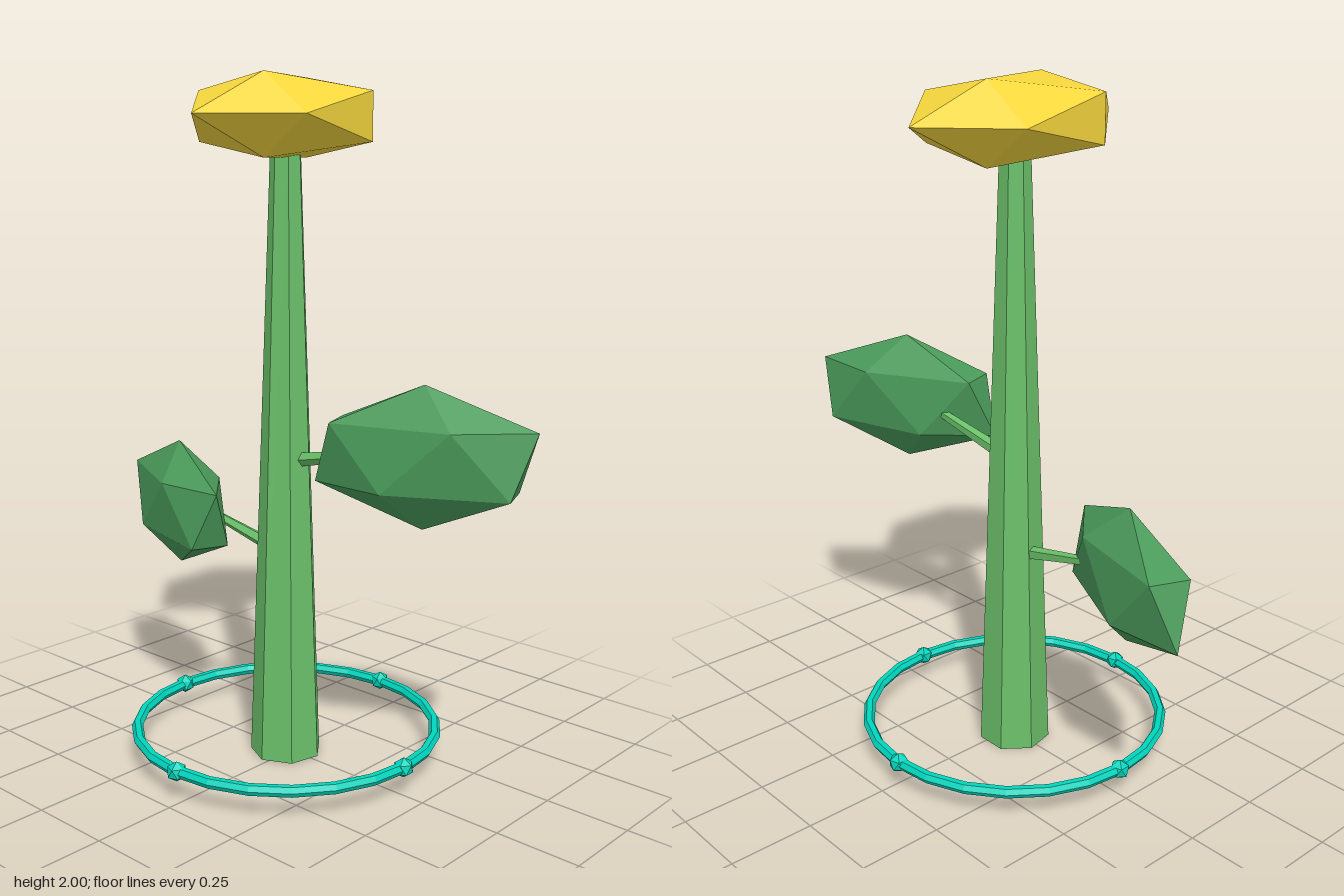
import * as THREE from 'three';

const CX = -0.02; // stem axis
const mat = (color) => new THREE.MeshStandardMaterial({ color, flatShading: true });
const stemMat = mat(0x6abf69), leafMat = mat(0x4a9a5a), flowerMat = mat(0xf5d63d), ringMat = mat(0x00d4bc);

function add(parent, name, geometry, material, x = 0, y = 0, z = 0) {
  const mesh = new THREE.Mesh(geometry, material);
  mesh.name = name;
  mesh.position.set(x, y, z);
  parent.add(mesh);
  return mesh;
}

// Icosahedron standing on a vertex, with an upper ring vertex towards +x
function gem(rx, ry, rz) {
  const g = new THREE.IcosahedronGeometry(1, 0);
  g.rotateX(-Math.atan((1 + Math.sqrt(5)) / 2));
  g.rotateY(Math.PI / 2);
  return g.scale(rx, ry, rz);
}

// Tapered stalk between two points
function stalk(a, b, r0, r1) {
  const dir = b.clone().sub(a), length = dir.length();
  const g = new THREE.CylinderGeometry(r1, r0, length, 5);
  g.translate(0, length / 2, 0);
  g.applyQuaternion(new THREE.Quaternion().setFromUnitVectors(new THREE.Vector3(0, 1, 0), dir.normalize()));
  return g.translate(a.x, a.y, a.z);
}

export function createModel() {
  const model = new THREE.Group();
  model.name = 'flowerPlant';

  // Stem
  add(model, 'stem', new THREE.CylinderGeometry(0.044, 0.108, 1.82, 7), stemMat, CX, 0.91, 0);

  // Flower head, its long axis running front to back
  const flower = gem(0.25, 0.36, 0.133).rotateX(Math.PI / 2);
  add(model, 'flowerHead', flower, flowerMat, CX, 1.885, 0);

  // Leaves, each swept back at the tip, with a stalk
  for (const [side, name, leafY, stalkY] of [[1, 'left', 0.988, 0.905], [-1, 'right', 0.7, 0.62]]) {
    const leaf = add(model, name + 'Leaf', gem(0.343, 0.198, 0.112), leafMat, side * 0.48, leafY, 0);
    leaf.rotation.y = side * 0.385;
    const from = new THREE.Vector3(CX, stalkY, 0);
    const to = new THREE.Vector3(side * 0.31, stalkY + 0.065, 0);
    add(model, name + 'LeafStalk', stalk(from, to, 0.023, 0.014), stemMat);
  }

  // Ground ring with four beads
  const ring = new THREE.Group();
  ring.name = 'groundRing';
  ring.position.set(CX, 0.085, 0);
  model.add(ring);
  add(ring, 'hoop', new THREE.TorusGeometry(0.452, 0.017, 6, 24).rotateX(Math.PI / 2), ringMat);
  for (let i = 0; i < 4; i++) {
    const a = (i * Math.PI) / 2;
    add(ring, 'bead' + (i + 1), gem(0.03, 0.03, 0.03), ringMat, 0.452 * Math.cos(a), 0, 0.452 * Math.sin(a));
  }
  return model;
}
